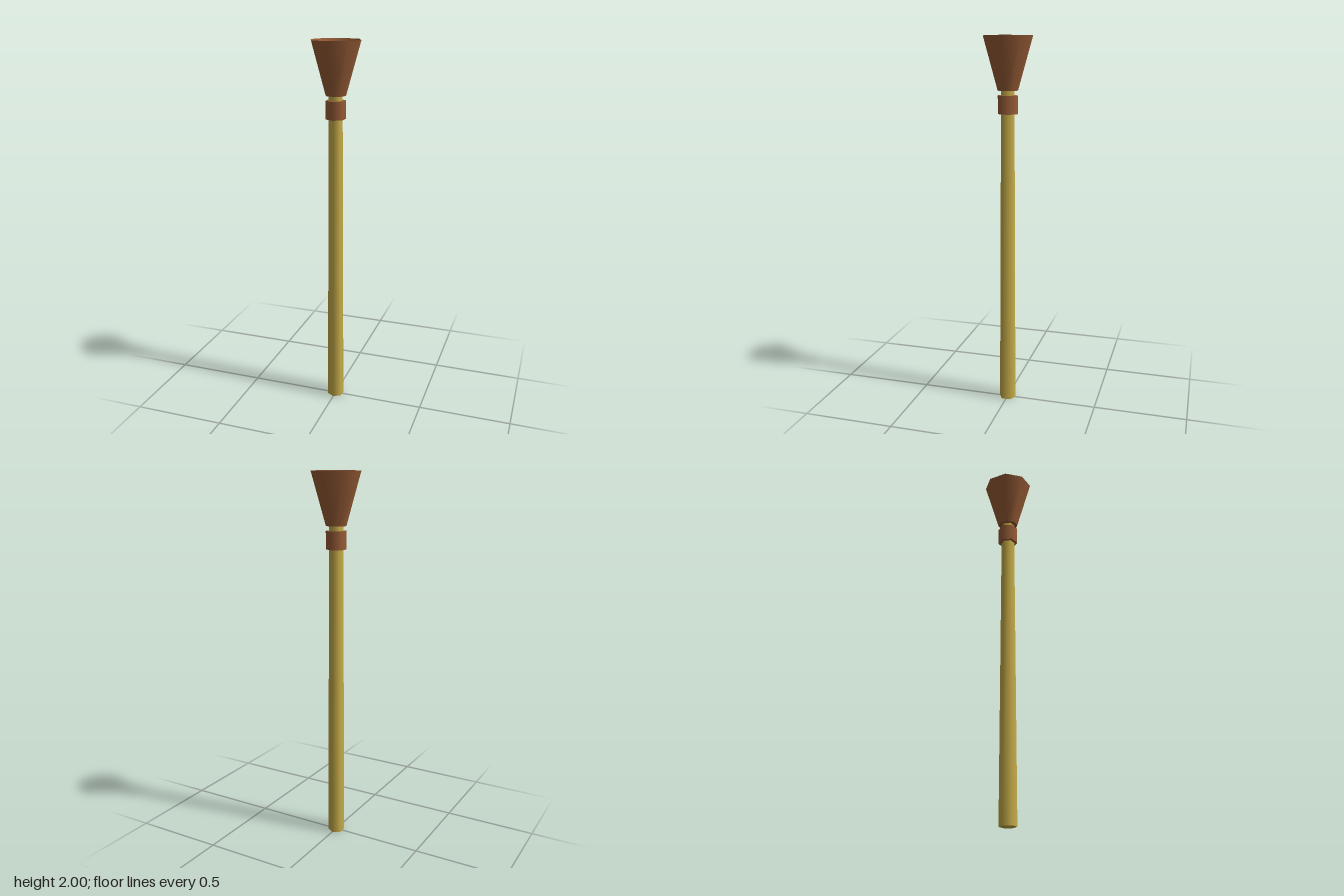
import * as THREE from 'three';

const wood = new THREE.MeshStandardMaterial({ color: 0xc8ae4a, name: 'paleWood' });
const copper = new THREE.MeshStandardMaterial({ color: 0x985d37, name: 'brownMetal' });
const coal = new THREE.MeshStandardMaterial({ color: 0x362d24, name: 'darkCoal' });

export function createModel() {
  const group = new THREE.Group();
  const add = (name, geometry, material) => {
    const mesh = new THREE.Mesh(geometry, material);
    mesh.name = name;
    group.add(mesh);
    return mesh;
  };

  // Tapered or straight prism between two heights
  const prism = (name, rTop, rBottom, y0, y1, sides, material, open = false) => {
    const geometry = new THREE.CylinderGeometry(rTop, rBottom, y1 - y0, sides, 1, open);
    geometry.translate(0, (y0 + y1) / 2, 0);
    return add(name, geometry, material);
  };

  // Flat octagon facing up
  const disc = (name, radius, y, material) => {
    const geometry = new THREE.CircleGeometry(radius, 8);
    geometry.rotateX(-Math.PI / 2);
    geometry.translate(0, y, 0);
    return add(name, geometry, material);
  };

  // Six-sided shaft and its collar
  prism('shaft', 0.036, 0.046, 0, 1.74, 6, wood);
  prism('collar', 0.054, 0.054, 1.605, 1.7, 6, copper);

  // Eight-sided flared bowl: outer wall, underside, inner wall, floor
  prism('bowlOuterWall', 0.133, 0.055, 1.725, 2, 8, copper, true);
  const underside = new THREE.CircleGeometry(0.055, 8);
  underside.rotateX(Math.PI / 2);
  underside.translate(0, 1.725, 0);
  add('bowlUnderside', underside, copper);
  const inner = [new THREE.Vector2(0.133, 2), new THREE.Vector2(0.093, 1.9)];
  add('bowlInnerWall', new THREE.LatheGeometry(inner, 8), copper);
  disc('bowlFloor', 0.093, 1.9, copper);

  // Burnt bed in the bowl
  disc('coalBed', 0.075, 1.903, coal);

  return group;
}
